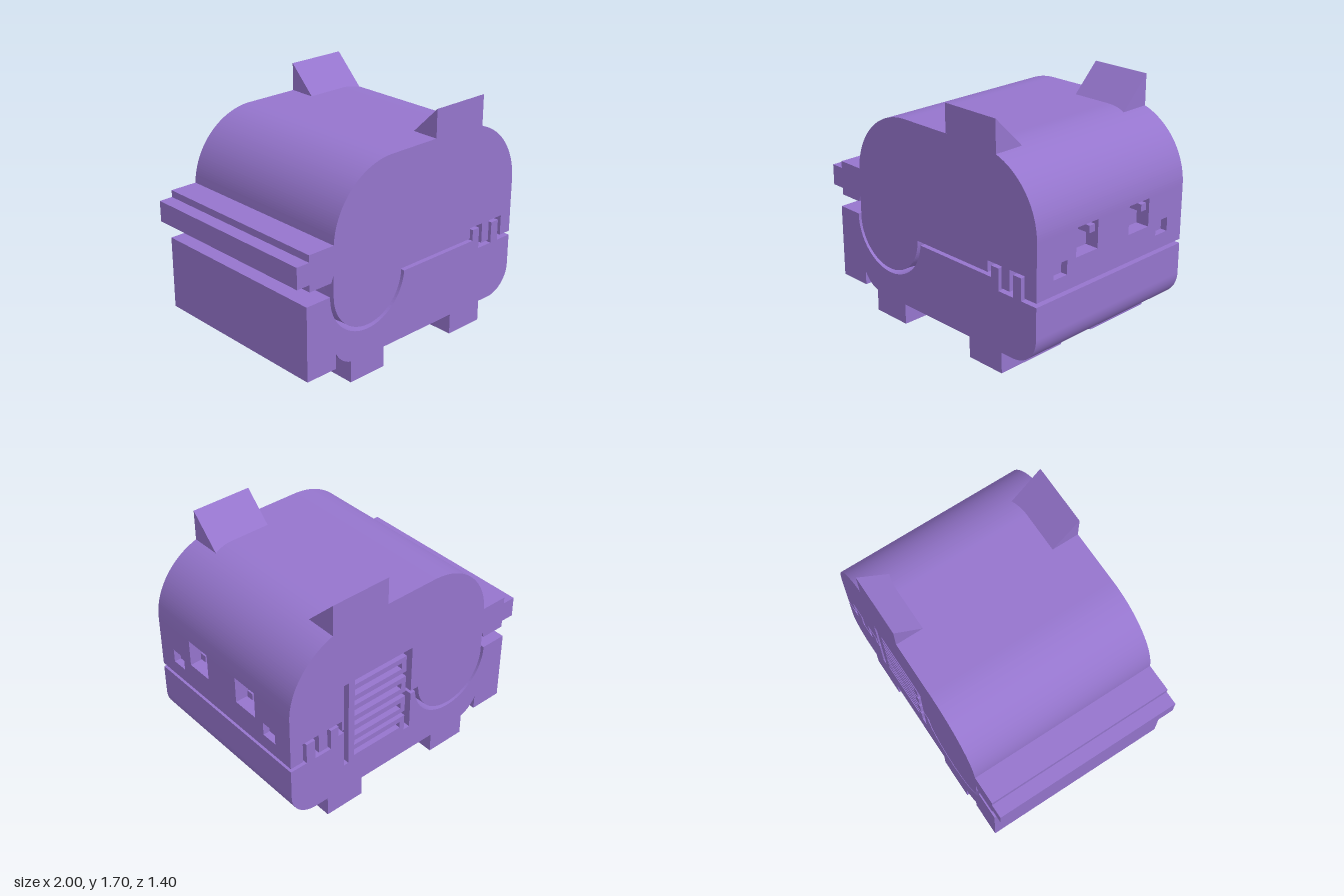
import * as THREE from 'three';

const D = 0.7;          // half depth along z
const POCKET = 0.35;    // z where the spring pocket ends
const PB = 0.36, PT = 1.04, PL = -0.03, PR = 0.56; // pocket bounds

export function createModel() {
  const group = new THREE.Group();
  const purple = new THREE.MeshStandardMaterial({ color: 0x9575cd });
  purple.name = 'purple';

  const add = (geo, name, parent = group) => {
    const m = new THREE.Mesh(geo, purple);
    m.name = name;
    parent.add(m);
    return m;
  };
  const extrude = (shape, z0, z1) =>
    new THREE.ExtrudeGeometry(shape, { depth: z1 - z0, bevelEnabled: false, curveSegments: 24 }).translate(0, 0, z0);
  const lines = (s, pts) => pts.forEach(([x, y]) => s.lineTo(x, y));
  // A block made of z slices, each with its own outline
  const sliced = (name, cuts, outline) => {
    const g = new THREE.Group();
    g.name = name;
    group.add(g);
    for (let i = 0; i < cuts.length - 1; i++) {
      const z = (cuts[i] + cuts[i + 1]) / 2;
      add(extrude(outline(z), cuts[i], cuts[i + 1]), name + 'Slice', g);
    }
  };

  // Upper body: domed back, hook, hinge barrel, interlocking slots, eye and cheek recesses
  sliced('upperBody', [-D, -0.55, -0.43, -0.35, -0.15, 0.15, 0.35, 0.43, 0.55, D], (z) => {
    const a = Math.abs(z);
    const s = new THREE.Shape();
    s.moveTo(1, 0.605);
    if (a > 0.43 && a < 0.55) lines(s, [[1, 0.71], [0.95, 0.71], [0.95, 0.81], [1, 0.81]]);
    if (a > 0.15 && a < 0.35) lines(s, [[1, 0.8], [0.9, 0.8], [0.9, 1]]);
    s.lineTo(1, 1);
    s.absarc(0.5, 1, 0.5, 0, Math.PI / 2, false);
    s.absarc(-0.2, 1, 0.5, Math.PI / 2, Math.PI - 0.06, false);
    lines(s, [[-0.9, 1.03], [-0.9, 0.98], [-1, 0.98], [-1, 0.83], [-0.9, 0.83], [-0.9, 0.78],
      [-0.72, 0.78], [-0.7, 0.83], [-0.7, 0.675]]);
    s.absarc(-0.4, 0.675, 0.3, Math.PI, Math.PI * 2, false);
    if (z < POCKET) lines(s, [[PL, 0.675], [PL, PT], [PR, PT], [PR, 0.675]]);
    lines(s, [[0.575, 0.675], [0.575, 0.755], [0.7, 0.755], [0.7, 0.605], [0.77, 0.605],
      [0.77, 0.755], [0.9, 0.755], [0.9, 0.605]]);
    return s;
  });

  // Lower body: hinge socket, rear block, interlocking lugs, shallow recess underneath
  sliced('lowerBody', [-D, -0.43, POCKET, 0.43, D], (z) => {
    const s = new THREE.Shape();
    s.moveTo(-0.925, 0.155);
    lines(s, [[-0.68, 0.155], [-0.68, 0.263]]);
    s.absarc(-0.5, 0.35, 0.2, Math.PI + 0.451, Math.PI * 1.5, false);
    if (Math.abs(z) < 0.43) lines(s, [[-0.13, 0.15], [-0.13, 0.19], [0.33, 0.19], [0.33, 0.15]]);
    s.absarc(0.8, 0.35, 0.2, -Math.PI / 2, 0, false);
    lines(s, [[1, 0.575], [0.87, 0.575], [0.87, 0.73], [0.8, 0.73], [0.8, 0.575], [0.67, 0.575],
      [0.67, 0.73], [0.605, 0.73], [0.605, 0.65]]);
    if (z < POCKET) lines(s, [[PR, 0.65], [PR, PB], [PL, PB], [PL, 0.65]]);
    s.absarc(-0.4, 0.675, 0.33, -0.076, -Math.PI, true);
    lines(s, [[-0.73, 0.685], [-0.925, 0.685]]);
    return s;
  });

  // Tapered hinge core filling the socket away from the ends
  for (const side of [-1, 1]) {
    const cone = new THREE.CylinderGeometry(0.3, 0.345, 0.65, 48, 1, true);
    cone.rotateX(side * Math.PI / 2).translate(-0.4, 0.675, side * 0.325);
    add(cone, 'hingeCone');
  }

  // Spring in the pocket: flat rings joined at one end
  for (let i = 0; i < 4; i++) {
    const y = PB + i * 0.17;
    const ring = new THREE.Shape();
    ring.moveTo(0.02, y);
    lines(ring, [[0.52, y], [0.52, y + 0.13], [0.02, y + 0.13]]);
    const hole = new THREE.Path();
    hole.moveTo(0.06, y + 0.04);
    lines(hole, [[0.06, y + 0.09], [0.47, y + 0.09], [0.47, y + 0.04]]);
    ring.holes.push(hole);
    add(extrude(ring, -D, POCKET), 'springRing');
    const depth = POCKET + D;
    add(new THREE.BoxGeometry(0.05, 0.04, depth).translate(0.495, y + 0.15, POCKET - depth / 2), 'springLink');
  }

  // Prism extruded along x from a (z, y) outline
  const prism = (pts, x0, x1) => {
    const s = new THREE.Shape(pts.map(([z, y]) => new THREE.Vector2(-z, y)));
    return extrude(s, x0, x1).rotateY(Math.PI / 2);
  };

  // Ears
  for (const s of [-1, 1]) {
    add(prism([[s * D, 1.7], [s * D, 1.45], [s * 0.45, 1.45]], 0.2, 0.65), s > 0 ? 'frontEar' : 'backEar');
  }

  // Feet with a V notch in the middle
  for (const [x0, x1] of [[-0.55, -0.25], [0.4, 0.7]]) {
    add(prism([[-D, 0], [-0.15, 0], [0, 0.15], [0.15, 0], [D, 0], [D, 0.17], [-D, 0.17]], x0, x1), 'foot');
  }

  // Pupils standing in the eye recesses
  for (const z of [0.2, -0.3]) {
    add(new THREE.BoxGeometry(0.1, 0.05, 0.05).translate(0.945, 0.95, z), 'pupil');
  }
  return group;
}
